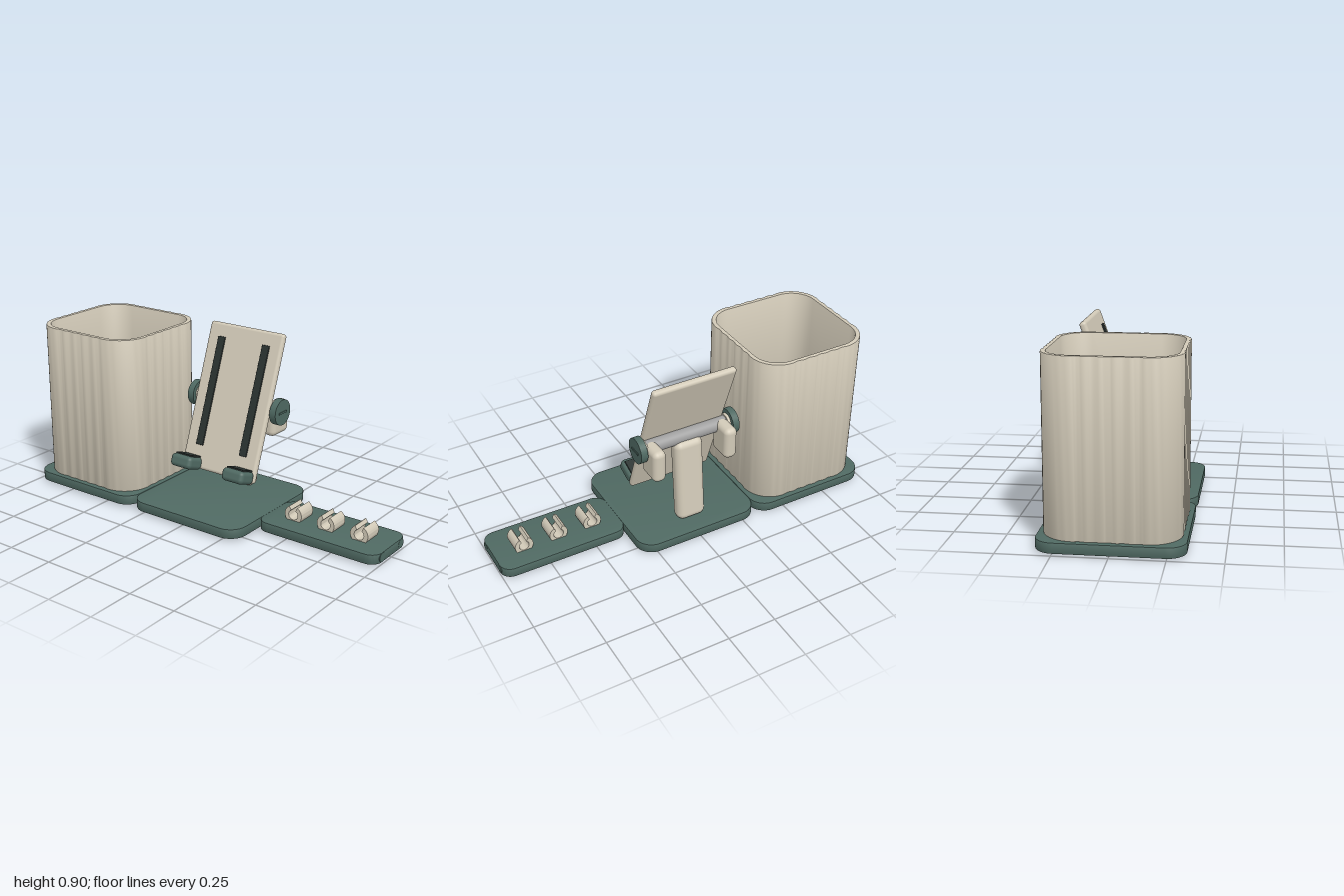
import * as THREE from 'three';
import { toCreasedNormals } from 'three/addons/utils/BufferGeometryUtils.js';
import { RoundedBoxGeometry } from 'three/addons/geometries/RoundedBoxGeometry.js';

const mat = (color) => new THREE.MeshStandardMaterial({ color });

export function createModel() {
  const root = new THREE.Group();
  const cream = mat(0xd2cab8), green = mat(0x4f6962), dark = mat(0x2a3230), steel = mat(0xa0a0a0);

  const add = (parent, name, geo, material, x = 0, y = 0, z = 0) => {
    const m = new THREE.Mesh(geo, material);
    m.name = name;
    m.position.set(x, y, z);
    parent.add(m);
    return m;
  };
  const rbox = (w, h, d, r) => new RoundedBoxGeometry(w, h, d, 4, r);

  // Rounded rectangle outline; optional ripple flutes the straight sides
  const outline = (w, d, r, ripple = 0) => {
    const pts = [], a = w / 2 - r, b = d / 2 - r;
    const corners = [[a, b], [-a, b], [-a, -b], [a, -b]];
    corners.forEach(([cx, cy], i) => {
      for (let k = 0; k <= 12; k++) {
        const t = (i + k / 12) * Math.PI / 2;
        pts.push(new THREE.Vector2(cx + r * Math.cos(t), cy + r * Math.sin(t)));
      }
      if (!ripple) return;
      const t = (i + 1) * Math.PI / 2, n = new THREE.Vector2(Math.cos(t), Math.sin(t));
      const from = pts[pts.length - 1].clone();
      const next = corners[(i + 1) % 4];
      const to = new THREE.Vector2(next[0], next[1]).addScaledVector(n, r);
      for (let k = 1; k < 40; k++) {
        const dip = ripple * (1 - Math.cos(k / 40 * Math.PI * 10)) / 2;
        pts.push(from.clone().lerp(to, k / 40).addScaledVector(n, -dip));
      }
    });
    return pts;
  };
  // Upright extrusion of a shape from y0 to y1
  const slab = (shape, y0, y1, bevel) => {
    const g = new THREE.ExtrudeGeometry(shape, {
      depth: y1 - y0 - 2 * bevel, bevelEnabled: bevel > 0, bevelSize: bevel,
      bevelThickness: bevel, bevelOffset: -bevel, bevelSegments: 2, curveSegments: 16,
    });
    g.rotateX(-Math.PI / 2).translate(0, y0 + bevel, 0);
    return toCreasedNormals(g, 0.6);
  };

  // Three joined base plates with rubber feet
  const plates = [
    ['cupPlate', -0.667, 0.666, 0.668, 0.09, 0.237, 0.245],
    ['standPlate', 0, 0.666, 0.668, 0.09, 0.238, 0.245],
    ['clipPlate', 0.666, 0.668, 0.306, 0.06, 0.215, 0.068],
  ];
  for (const [name, x, w, d, r, fx, fz] of plates) {
    add(root, name, slab(new THREE.Shape(outline(w, d, r)), 0.01, 0.06, 0.003), green, x);
    for (const sx of [-1, 1]) for (const sz of [-1, 1])
      add(root, 'foot', new THREE.CylinderGeometry(0.037, 0.037, 0.014, 24), dark, x + sx * fx, 0.007, sz * fz);
  }
  // Round connector plugs in the end of the clip plate
  for (const z of [-0.09, 0.09])
    add(root, 'connector', new THREE.CylinderGeometry(0.024, 0.024, 0.01, 24).rotateZ(Math.PI / 2), green, 0.996, 0.036, z);

  // Pen cup: fluted wall, floor and divider
  const cup = new THREE.Group();
  cup.name = 'penCup';
  cup.position.x = -0.667;
  root.add(cup);
  const wall = new THREE.Shape(outline(0.625, 0.625, 0.15, 0.005));
  wall.holes.push(new THREE.Path(outline(0.575, 0.575, 0.125).reverse()));
  add(cup, 'cupWall', slab(wall, 0.06, 0.875, 0.005), cream);
  add(cup, 'cupFloor', slab(new THREE.Shape(outline(0.59, 0.59, 0.13)), 0.058, 0.085, 0), cream);
  add(cup, 'divider', new THREE.BoxGeometry(0.015, 0.25, 0.475), green, 0, 0.21, 0);

  // Support arm leaning slightly forward
  const arm = add(root, 'supportArm', rbox(0.155, 0.46, 0.085, 0.035), cream, 0, 0.285, -0.182);
  arm.rotation.x = 0.085;

  // Hinge shaft, side brackets and knobs
  const hinge = new THREE.Group();
  hinge.name = 'hinge';
  hinge.position.set(0, 0.522, -0.148);
  root.add(hinge);
  const along = (r, len) => new THREE.CylinderGeometry(r, r, len, 40).rotateZ(Math.PI / 2);
  add(hinge, 'shaft', along(0.036, 0.46), steel);
  for (const s of [-1, 1]) {
    add(hinge, 'bracket', rbox(0.07, 0.175, 0.14, 0.028), cream, s * 0.2, -0.054, -0.052);
    add(hinge, 'spacer', along(0.045, 0.02), cream, s * 0.235);
    add(hinge, 'knob', along(0.067, 0.036), green, s * 0.258);
    add(hinge, 'knobGrip', new THREE.BoxGeometry(0.006, 0.01, 0.066), green, s * 0.277);
  }

  // Tilted back rest with grip strips and lower lips
  const rest = new THREE.Group();
  rest.name = 'backRest';
  rest.position.set(0, 0.537, -0.108);
  rest.rotation.x = -0.349;
  root.add(rest);
  add(rest, 'restPanel', rbox(0.455, 0.765, 0.036, 0.016), cream);
  for (const s of [-1, 1]) {
    add(rest, 'gripStrip', rbox(0.044, 0.57, 0.01, 0.003), dark, s * 0.137, 0.025, 0.02);
    add(rest, 'lip', rbox(0.13, 0.066, 0.115, 0.022), green, s * 0.163, -0.356, 0.068);
    add(rest, 'lipPad', rbox(0.1, 0.01, 0.085, 0.003), dark, s * 0.163, -0.321, 0.062);
  }

  // Cable clips: open rings with the gap on top
  const gap = 0.5, up = Math.PI / 2;
  const ring = new THREE.Shape();
  ring.absarc(0, 0, 0.048, up + gap, up - gap + 2 * Math.PI, false);
  ring.absarc(0, 0, 0.026, up - gap + 2 * Math.PI, up + gap, true);
  ring.closePath();
  const clip = toCreasedNormals(new THREE.ExtrudeGeometry(ring, {
    depth: 0.104, bevelEnabled: false, curveSegments: 32,
  }).translate(0, 0, -0.052), 0.6);
  for (const x of [0.48, 0.665, 0.85]) add(root, 'cableClip', clip, cream, x, 0.09, -0.002);

  return root;
}
